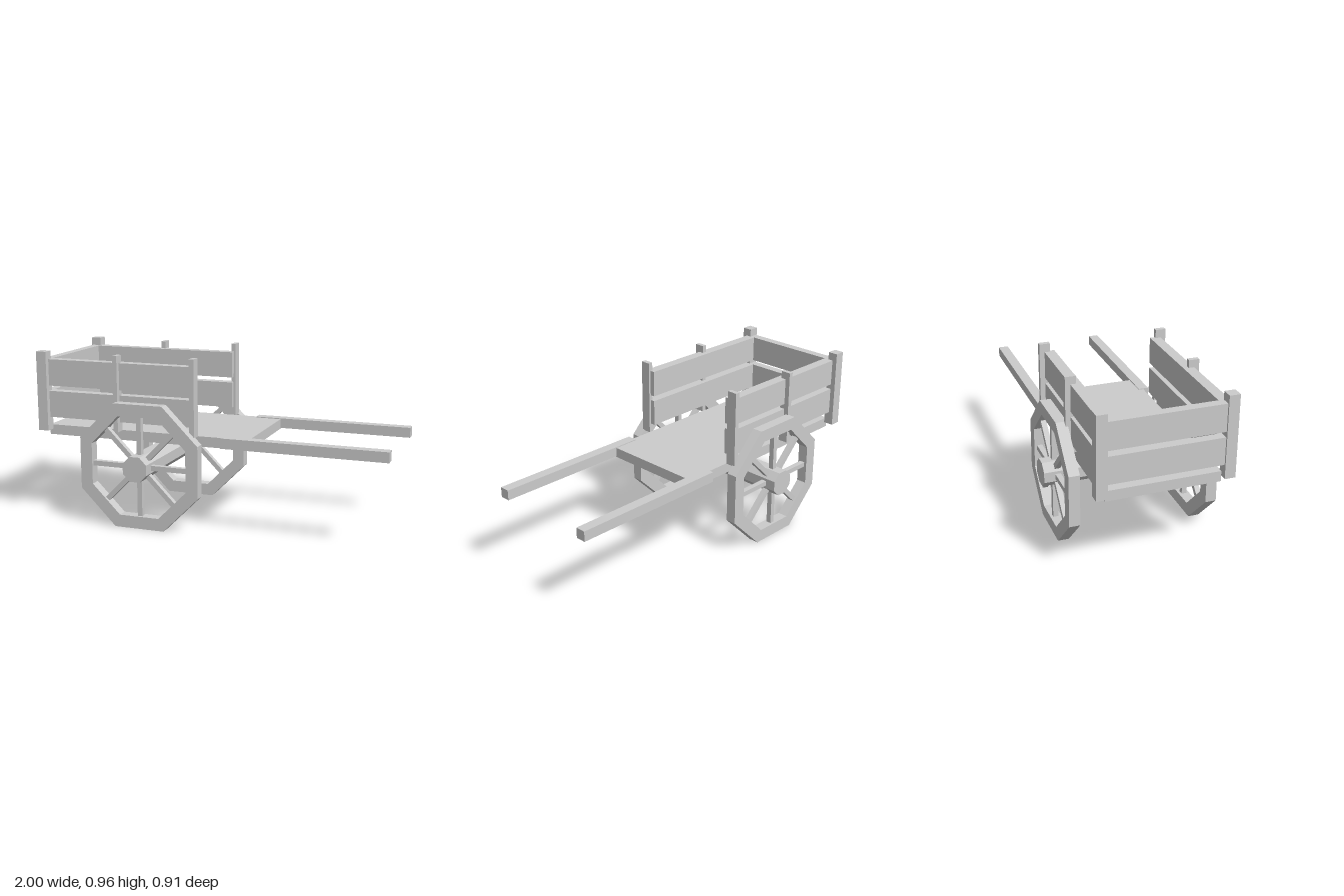
import * as THREE from 'three';

const material = new THREE.MeshStandardMaterial({ color: 0xcccccc, flatShading: true });

function add(parent, name, geometry) {
  const mesh = new THREE.Mesh(geometry, material);
  mesh.name = name;
  parent.add(mesh);
  return mesh;
}

// Box given by its lower and upper limits on each axis
function addBox(parent, name, [x0, x1], [y0, y1], [z0, z1]) {
  const mesh = add(parent, name, new THREE.BoxGeometry(x1 - x0, y1 - y0, z1 - z0));
  mesh.position.set((x0 + x1) / 2, (y0 + y1) / 2, (z0 + z1) / 2);
  return mesh;
}

// Same box on both sides of the cart
function addPair(parent, name, x, y, [z0, z1]) {
  addBox(parent, name + 'Left', x, y, [z0, z1]);
  addBox(parent, name + 'Right', x, y, [-z1, -z0]);
}

// Corners of an octagon with a flat side at the bottom
function octagon(apothem) {
  const radius = apothem / Math.cos(Math.PI / 8);
  return Array.from({ length: 8 }, (_, i) => {
    const a = (i + 0.5) * Math.PI / 4;
    return new THREE.Vector2(radius * Math.cos(a), radius * Math.sin(a));
  });
}

function extrudeCentred(shape, depth) {
  return new THREE.ExtrudeGeometry(shape, { depth, bevelEnabled: false }).translate(0, 0, -depth / 2);
}

function makeWheel(name) {
  const wheel = new THREE.Group();
  wheel.name = name;
  const rim = new THREE.Shape(octagon(0.35));
  rim.holes.push(new THREE.Path(octagon(0.28).reverse()));
  add(wheel, 'rim', extrudeCentred(rim, 0.06));
  for (let i = 0; i < 8; i++) {
    const spoke = add(wheel, 'spoke', new THREE.BoxGeometry(0.24, 0.028, 0.03).translate(0.17, 0, 0));
    spoke.rotation.z = i * Math.PI / 4;
  }
  return wheel;
}

export function createModel() {
  const cart = new THREE.Group();
  cart.name = 'handcart';

  // Floor and pulling shafts
  addBox(cart, 'floor', [-0.96, 0.24], [0.473, 0.53], [-0.305, 0.305]);
  addPair(cart, 'shaft', [0.09, 1], [0.478, 0.535], [0.277, 0.335]);

  // Side and rear boards in two rows
  for (const y of [[0.58, 0.73], [0.76, 0.91]]) {
    addPair(cart, 'sideBoard', [-0.95, -0.062], y, [0.277, 0.335]);
    addBox(cart, 'rearBoard', [-0.99, -0.94], y, [-0.31, 0.31]);
  }

  // Upright posts
  addPair(cart, 'rearPost', [-1, -0.94], [0.505, 0.955], [0.305, 0.363]);
  addPair(cart, 'middlePost', [-0.528, -0.502], [0.528, 0.952], [0.305, 0.363]);
  addPair(cart, 'frontPost', [-0.077, -0.05], [0.528, 0.957], [0.305, 0.363]);

  // Axle and wheels
  const axle = add(cart, 'axle', extrudeCentred(new THREE.Shape(octagon(0.07)), 0.91));
  axle.position.set(-0.363, 0.35, 0);
  for (const side of [1, -1]) {
    const wheel = makeWheel(side > 0 ? 'wheelLeft' : 'wheelRight');
    wheel.position.set(-0.363, 0.35, side * 0.379);
    cart.add(wheel);
  }

  return cart;
}
